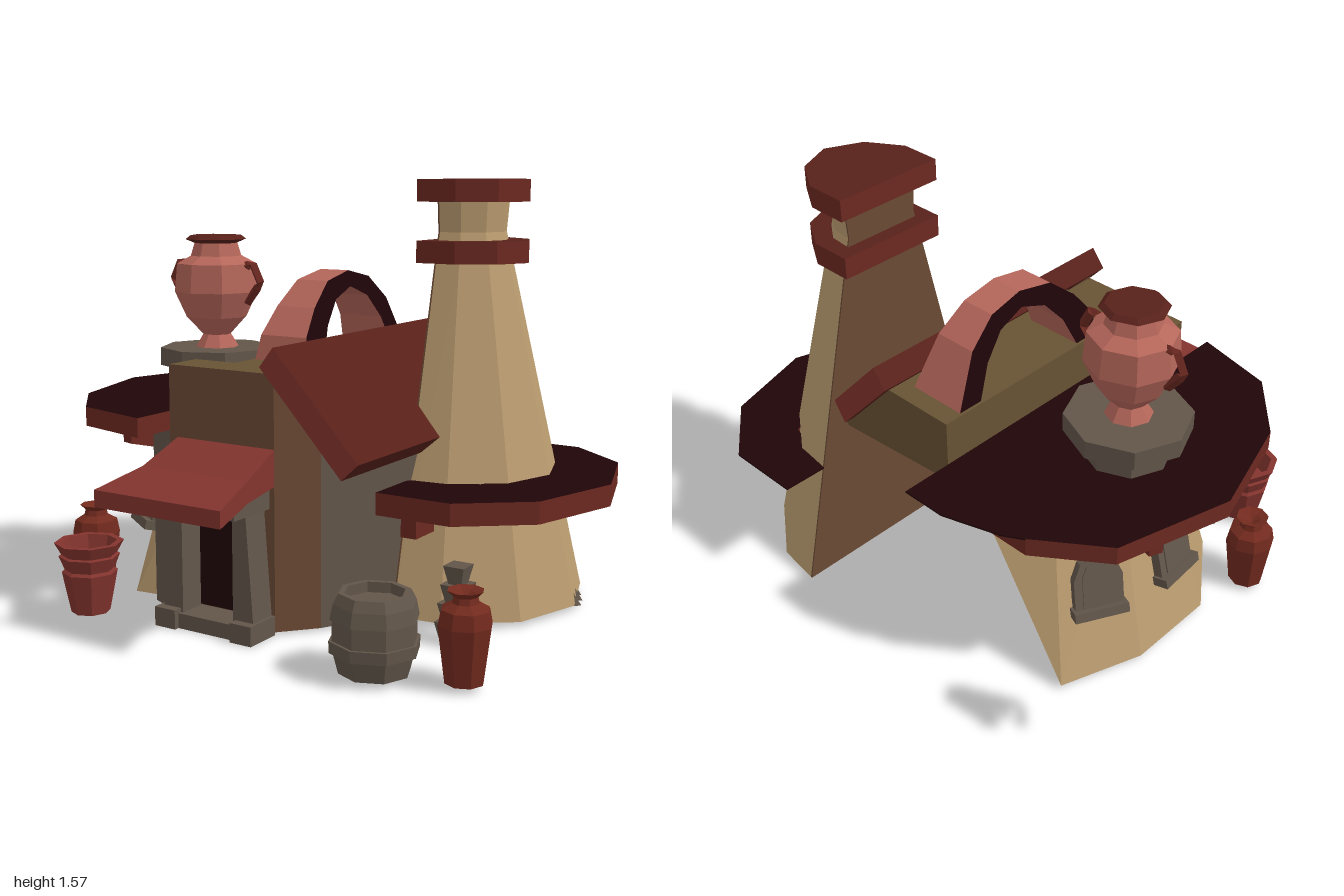
import * as THREE from 'three';

const mat = (name, color, side = THREE.FrontSide) => Object.assign(new THREE.MeshStandardMaterial({ color, side }), { name });

export function createModel() {
  const root = new THREE.Group();
  root.name = 'potteryWorkshop';
  const tan = mat('tanPlaster', 0xbb9c70, THREE.DoubleSide);
  const brown = mat('brownWall', 0x6b4a35);
  const olive = mat('oliveWall', 0x685234);
  const stone = mat('greyStone', 0x62564a);
  const rim = mat('roofRim', 0x6c2921);
  const dark = mat('darkMaroon', 0x1f0508);
  const slab = mat('roofRed', 0x58211a);
  const red = mat('awningRed', 0x83342e);
  const clay = mat('terracotta', 0xb5665a);
  const jarMat = mat('jarRust', 0x722a1e);

  // adds a faceted mesh
  function add(name, geo, material, x = 0, y = 0, z = 0, parent = root) {
    const g = geo.index ? geo.toNonIndexed() : geo;
    g.computeVertexNormals();
    const m = new THREE.Mesh(g, material);
    m.name = name;
    m.position.set(x, y, z);
    parent.add(m);
    return m;
  }
  const box = (name, m, x0, x1, y0, y1, z0, z1) =>
    add(name, new THREE.BoxGeometry(x1 - x0, y1 - y0, z1 - z0), m, (x0 + x1) / 2, (y0 + y1) / 2, (z0 + z1) / 2);
  const extrude = (pts, depth) => new THREE.ExtrudeGeometry(
    new THREE.Shape(pts.map(p => new THREE.Vector2(p[0], p[1]))), { depth, bevelEnabled: false });
  // footprint in x,z raised from y0 to y1
  const slabOf = (name, pts, y0, y1, m) =>
    add(name, extrude(pts.map(([x, z]) => [x, -z]), y1 - y0).rotateX(-Math.PI / 2), m, 0, y0, 0);
  // profile in x,y running from z0 to z1
  const profile = (name, pts, z0, z1, m) => add(name, extrude(pts, z1 - z0), m, 0, 0, z0);

  // skin over stacked loops of [x, y, z], counter-clockwise from above; open leaves a bare shell
  function loft(loops, open = false) {
    const v = [], n = loops[0].length;
    for (let k = 0; k + 1 < loops.length; k++) for (let i = 0; i < (open ? n - 1 : n); i++) {
      const j = (i + 1) % n, a = loops[k][i], b = loops[k][j], c = loops[k + 1][j], d = loops[k + 1][i];
      v.push(...a, ...b, ...c, ...a, ...c, ...d);
    }
    const lo = loops[0], hi = loops[loops.length - 1];
    for (let i = 1; !open && i + 1 < n; i++) v.push(...lo[0], ...lo[i + 1], ...lo[i], ...hi[0], ...hi[i], ...hi[i + 1]);
    return new THREE.BufferGeometry().setAttribute('position', new THREE.Float32BufferAttribute(v, 3));
  }
  const lathe = (pts, n) => new THREE.LatheGeometry(pts.map(p => new THREE.Vector2(p[0], p[1])), n);

  // kiln tower: half cone shell with a flat inner wall
  const rad = Math.PI / 180;
  const towerLoop = (y, r) => [
    [0.36, y, -0.335 + r],
    ...[-72, -36, 0, 36, 72].map(a => [0.4 + r * Math.cos(a * rad), y, -0.335 - r * Math.sin(a * rad)]),
    [0.36, y, -0.335 - r]];
  add('tower', loft([[0.02, 0.465], [1.27, 0.175], [1.38, 0.148], [1.5, 0.158]].map(([y, r]) => towerLoop(y, r)), true), tan);
  add('towerInnerWall', extrude([[0.13, 0.02], [-0.8, 0.02], [-0.51, 1.27], [-0.483, 1.38], [-0.493, 1.5], [-0.177, 1.5],
    [-0.187, 1.38], [-0.16, 1.27]], 0.006).rotateY(-Math.PI / 2), brown, 0.365);
  const cap = [[0.305, -0.55], [0.46, -0.55], [0.59, -0.47], [0.65, -0.335], [0.59, -0.2], [0.46, -0.12], [0.305, -0.12]];
  slabOf('towerLowerRing', cap, 1.27, 1.35, [slab, rim]);
  slabOf('towerCap', cap, 1.49, 1.57, [slab, rim]);
  // skirt roof: full rim at the front and side, a bare sheet at the rear; its inner edge hugs the tower
  slabOf('towerSkirtRoof', [[0.36, -0.67], [0.4, -0.67], [0.61, -0.61], [0.73, -0.335], [0.61, -0.06], [0.36, 0], [0.36, 0.25],
    [0.65, 0.25], [0.89, 0.06], [1, -0.31], [0.89, -0.67], [0.4, -0.672]], 0.42, 0.5, [dark, rim]);
  slabOf('towerSkirtRear', [[0.36, -0.86], [0.65, -0.86], [0.89, -0.67], [0.36, -0.67]], 0.494, 0.5, dark);
  profile('towerBracket', [[0.45, 0.35], [0.51, 0.35], [0.51, 0.42], [0.45, 0.42]], 0.1, 0.23, rim);
  for (const [x, z] of [[0.83, -0.38], [0.81, -0.44], [0.78, -0.5]])
    add('rubble', new THREE.ConeGeometry(0.045, 0.06, 4), stone, x, 0.04, z);

  // left hut: half cone shell leaning into the house, rear corner drawn out at the foot
  const hutPt = (a, r, y) => [-0.27 + r * Math.cos(a * rad), y, -0.06 - r * Math.sin(a * rad)];
  const hutAngles = [126, 162, 198, 234];
  const rearFoot = [-0.7, 0.02, -0.54];
  add('hutWall', loft([
    [rearFoot, rearFoot, ...hutAngles.slice(1).map(a => hutPt(a, 0.57, 0.02)), [-0.42, 0.02, 0.38]],
    [[-0.2, 0.69, -0.5], ...hutAngles.map(a => hutPt(a, 0.38, 0.69)), [-0.3, 0.69, 0.3]]], true), tan);
  slabOf('hutRoof', [[-0.19, -0.66], [-0.64, -0.66], [-0.88, -0.49], [-1, -0.06], [-0.88, 0.34],
    [-0.68, 0.57], [-0.37, 0.645], [-0.37, 0.33], [-0.19, 0.33]], 0.68, 0.75, [dark, rim]);
  slabOf('hutRoofRear', [[-0.19, -0.765], [-0.36, -0.765], [-0.57, -0.7], [-0.64, -0.66], [-0.19, -0.66]], 0.744, 0.75, dark);

  // arched hut windows leaning with the wall
  const arch = (w, h) => {
    const s = new THREE.Shape();
    s.moveTo(-w, 0);
    s.lineTo(w, 0);
    for (let i = 0; i <= 4; i++) s.lineTo(w * Math.cos(i * Math.PI / 4), h + w * Math.sin(i * Math.PI / 4));
    return s;
  };
  for (const [x, z, a] of [[-0.69, -0.35, 152], [-0.75, -0.02, 184], [-0.61, 0.29, 236]]) {
    const g = new THREE.Group();
    g.name = 'hutWindow';
    g.position.set(x, 0.27, z);
    g.rotation.order = 'YXZ';
    g.rotation.set(-0.23, (90 + a) * rad, 0);
    root.add(g);
    add('windowFrame', new THREE.ExtrudeGeometry(arch(0.09, 0.13), { depth: 0.035, bevelEnabled: false }), stone, 0, 0, 0, g);
    add('windowPane', new THREE.ExtrudeGeometry(arch(0.06, 0.12), { depth: 0.005, bevelEnabled: false }), stone, 0, 0.02, 0.035, g);
    add('windowSill', new THREE.BoxGeometry(0.2, 0.035, 0.06), stone, 0, 0, 0.03, g);
  }
  // rafters below the hut roof
  for (const [x, z, turn] of [[-0.82, 0.13, 0.2], [-0.8, -0.3, -0.4], [-0.54, 0.4, 1.3]])
    add('hutRafter', extrude([[-0.1, -0.06], [0.1, -0.11], [0.1, 0], [-0.1, 0]], 0.05), rim, x, 0.68, z).rotation.y = turn;

  // house: thin lower walls open to the rear, solid parapet above
  box('houseFrontWall', brown, -0.365, 0.09, 0.01, 0.68, 0.465, 0.475);
  profile('houseParapet', [[-0.365, 0.68], [0.09, 0.68], [0.09, 0.92], [-0.365, 0.92]], 0.32, 0.475, [brown, olive]);
  add('houseCutCorner', loft([
    [[0.09, 0.01, 0.475], [0.2, 0.01, 0.35], [0.19, 0.01, 0.345], [0.085, 0.01, 0.465]],
    [[0.09, 0.93, 0.475], [0.2, 0.83, 0.35], [0.19, 0.83, 0.345], [0.085, 0.93, 0.465]]]), brown);
  slabOf('houseRightWall', [[0.2, 0.35], [0.39, -0.02], [0.38, -0.02], [0.19, 0.345]], 0.01, 0.65, stone);
  slabOf('houseLeftWall', [[-0.365, 0.475], [-0.365, 0.465], [-0.48, 0.41], [-0.48, 0.3], [-0.49, 0.3], [-0.49, 0.42]],
    0.01, 0.68, stone);
  profile('houseRidge', [[-0.19, 0.68], [0.34, 0.64], [0.36, 0.66], [0.1, 0.92], [-0.19, 0.92]], -0.57, 0.35, olive);
  // sloping roof, narrower where it meets the tower
  profile('houseRoof', [[0.07, 0.95], [0.395, 0.6], [0.46, 0.66], [0.125, 1.02]], -0.05, 0.53, [red, slab]);
  profile('houseRoofBack', [[0.07, 0.95], [0.31, 0.69], [0.36, 0.765], [0.125, 1.02]], -0.61, -0.05, [red, slab]);

  // ridge arch, tapering toward its crown
  const archPts = [[0.21, 0.91], [0.19, 1.01], [0.11, 1.11], [0, 1.2], [-0.15, 1.23], [-0.29, 1.2], [-0.4, 1.11], [-0.5, 0.91],
    [-0.4, 0.91], [-0.34, 1.04], [-0.26, 1.13], [-0.15, 1.17], [-0.04, 1.13], [0.04, 1.04], [0.1, 0.91]];
  const archGeo = extrude(archPts, 0.23).translate(0, 0, -0.115).rotateY(-Math.PI / 2);
  const ap = archGeo.attributes.position;
  for (let i = 0; i < ap.count; i++) ap.setX(i, ap.getX(i) * (1 - (ap.getY(i) - 0.91) * 1.45));
  add('ridgeArch', archGeo, [dark, clay], -0.065);

  // doorway
  box('doorOpening', dark, -0.24, 0, 0.06, 0.46, 0.474, 0.483);
  for (const s of [-1, 1]) {
    add('doorPost', extrude([[0.11 * s, 0], [0.2 * s, 0], [0.165 * s, 0.46], [0.11 * s, 0.46]], 0.11), stone, -0.12, 0.01, 0.475);
    box('doorFoot', stone, -0.12 + s * 0.165 - 0.045, -0.12 + s * 0.165 + 0.045, 0, 0.07, 0.475, 0.62);
    box('awningSupport', stone, -0.12 + s * 0.16 - 0.03, -0.12 + s * 0.16 + 0.03, 0.45, 0.54, 0.475, 0.68);
  }
  box('doorStep', stone, -0.32, 0.08, 0, 0.055, 0.475, 0.6);
  box('doorLintel', stone, -0.29, 0.05, 0.45, 0.5, 0.475, 0.58);
  // flared awning
  const awn = (z, w, y0, y1) => [[-0.12 - w, y0, z], [-0.12 + w, y0, z], [-0.12 + w, y1, z], [-0.12 - w, y1, z]];
  add('awning', loft([awn(0.475, 0.21, 0.53, 0.66), awn(0.65, 0.225, 0.51, 0.585), awn(0.855, 0.267, 0.475, 0.535)]), red);

  // great urn on its plinth
  const urn = new THREE.Group();
  urn.name = 'greatUrn';
  urn.position.set(-0.577, 0, -0.085);
  root.add(urn);
  add('plinthBase', new THREE.CylinderGeometry(0.16, 0.16, 0.1, 8), stone, 0, 0.79, 0, urn);
  add('plinthTop', new THREE.CylinderGeometry(0.225, 0.225, 0.07, 8), stone, 0, 0.875, 0, urn);
  add('urnBody', lathe([[0, 0.91], [0.085, 0.91], [0.055, 0.96], [0.12, 1.03], [0.165, 1.13], [0.155, 1.24],
    [0.1, 1.27], [0.085, 1.32], [0, 1.32]], 8), clay, 0, 0, 0, urn);
  add('urnRim', lathe([[0.085, 1.32], [0.12, 1.335], [0.1, 1.35], [0, 1.35]], 8), slab, 0, 0, 0, urn);
  for (const s of [-1, 1]) {
    const path = new THREE.CurvePath();
    const p = [[0.13, 1.23], [0.18, 1.24], [0.215, 1.17], [0.15, 1.09]].map(q => new THREE.Vector3(q[0] * s, q[1], 0));
    for (let i = 0; i < 3; i++) path.add(new THREE.LineCurve3(p[i], p[i + 1]));
    add('urnHandle', new THREE.TubeGeometry(path, 9, 0.018, 4), rim, 0, 0, 0, urn);
  }

  // bottle jars
  for (const [x, z] of [[0.865, 0.55], [-0.84, 0.36]])
    add('bottleJar', lathe([[0, 0.02], [0.065, 0.02], [0.09, 0.21], [0.08, 0.26], [0.045, 0.28], [0.04, 0.3],
      [0.06, 0.32], [0.03, 0.31], [0, 0.29]], 8), jarMat, x, 0, z);

  // flared pot with stepped bands
  add('flaredPot', lathe([[0, 0.02], [0.07, 0.02], [0.1, 0.17], [0.09, 0.18], [0.11, 0.23], [0.1, 0.235], [0.125, 0.28],
    [0.1, 0.28], [0.08, 0.2], [0, 0.2]], 8), red, -0.595, 0, 0.665);

  // barrel
  add('barrel', lathe([[0, 0.02], [0.12, 0.02], [0.138, 0.09], [0.15, 0.09], [0.152, 0.13], [0.142, 0.13], [0.14, 0.2],
    [0.148, 0.2], [0.138, 0.25], [0.12, 0.285], [0.1, 0.285], [0.1, 0.25], [0, 0.25]], 8), stone, 0.58, 0, 0.62);

  // stacked stone tubs; the rear stack has one open side
  for (const [name, x, z, start, len] of [['sideStack', 0.66, 0.2, Math.PI / 4, 2 * Math.PI], ['rearStack', -0.675, -0.745, -Math.PI / 2, 1.5 * Math.PI]])
    for (let i = 0; i < 4; i++)
      add(name, new THREE.CylinderGeometry(0.085 - i * 0.01, 0.065 - i * 0.01, 0.065, len > 6 ? 4 : 3, 1, len < 6, start, len),
        stone, x, 0.05 + i * 0.065, z);

  return root;
}
